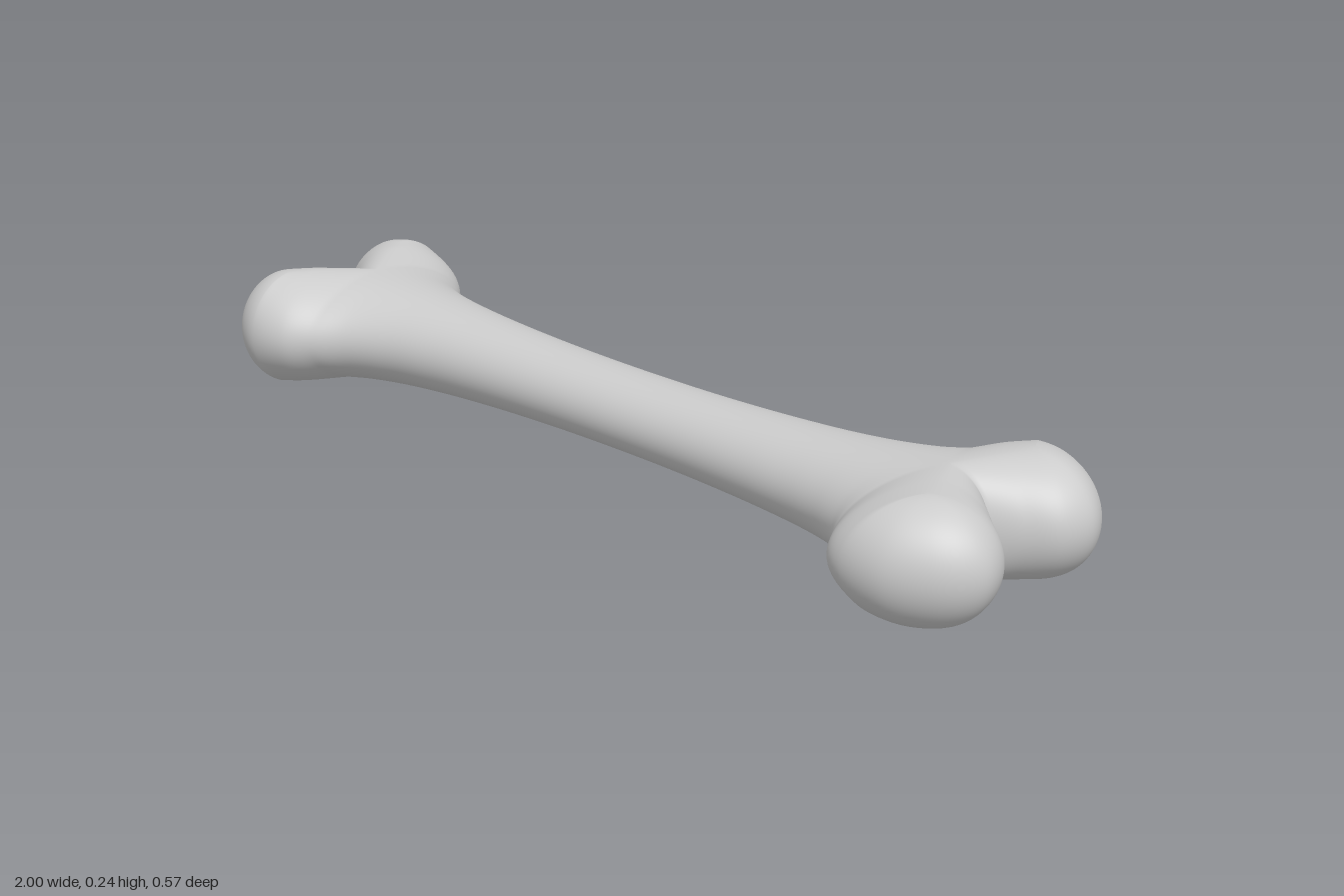
import * as THREE from 'three';
import { mergeVertices } from 'three/addons/utils/BufferGeometryUtils.js';

// Each row: outline x, outline z, then x, z of the ridge point above it.
// Ends run from the shaft, round one knuckle, into the notch.
const leftEnd = [
  [0.40, 0.109, 0.40, 0], [0.52, 0.123, 0.53, 0], [0.60, 0.144, 0.63, 0],
  [0.665, 0.178, 0.72, 0], [0.70, 0.217, 0.785, 0], [0.73, 0.262, 0.823, 0.085],
  [0.775, 0.282, 0.86, 0.15], [0.86, 0.279, 0.86, 0.15], [0.94, 0.238, 0.86, 0.15],
  [0.985, 0.19, 0.86, 0.15], [1.0, 0.145, 0.86, 0.15], [0.98, 0.085, 0.86, 0.15],
  [0.93, 0.039, 0.823, 0.085], [0.882, 0, 0.785, 0],
];
const rightEnd = [
  [-0.40, 0.107, -0.40, 0], [-0.52, 0.119, -0.53, 0], [-0.62, 0.139, -0.63, 0],
  [-0.70, 0.171, -0.72, 0], [-0.755, 0.212, -0.785, 0], [-0.805, 0.252, -0.845, 0.085],
  [-0.875, 0.27, -0.885, 0.15], [-0.915, 0.262, -0.885, 0.15], [-0.955, 0.237, -0.885, 0.15],
  [-0.988, 0.195, -0.885, 0.15], [-1.0, 0.145, -0.885, 0.15], [-0.975, 0.083, -0.885, 0.15],
  [-0.925, 0.038, -0.845, 0.085], [-0.882, 0, -0.785, 0],
];
const middle = [[0.2, 0.098, 0.2, 0], [0, 0.096, 0, 0], [-0.2, 0.098, -0.2, 0]];

const MID_Y = 0.122;
const STEPS = 8; // samples between outline rows
const ARC = 40; // samples from underside to top

// Half thickness grows from the slim shaft to the knuckles
const halfHeight = (x) => Math.min(0.078 + 0.037 * (x / 0.79) ** 2, 0.122);

function boneGeometry() {
  const rows = [...leftEnd.slice().reverse(), ...middle, ...rightEnd];
  const outline = new THREE.CatmullRomCurve3(rows.map(([x, z]) => new THREE.Vector3(x, 0, z)));
  const count = (rows.length - 1) * STEPS;
  const positions = [];
  const indices = [];

  // Front and back halves, mirrored across z
  for (const side of [1, -1]) {
    const base = positions.length / 3;
    for (let i = 0; i <= count; i++) {
      const k = Math.min(Math.floor(i / STEPS), rows.length - 2);
      const f = (i - k * STEPS) / STEPS;
      const edge = outline.getPoint(i / count);
      const ridgeX = THREE.MathUtils.lerp(rows[k][2], rows[k + 1][2], f);
      const ridgeZ = THREE.MathUtils.lerp(rows[k][3], rows[k + 1][3], f);
      const h = halfHeight(ridgeX);

      // Quarter ellipses from the ridge to the outline, below and above
      for (let j = 0; j <= ARC; j++) {
        const t = (j / ARC - 0.5) * Math.PI;
        const c = Math.cos(t);
        positions.push(
          ridgeX + (edge.x - ridgeX) * c,
          MID_Y + h * Math.sin(t),
          side * (ridgeZ + (edge.z - ridgeZ) * c),
        );
      }
    }
    for (let i = 0; i < count; i++) {
      for (let j = 0; j < ARC; j++) {
        const a = base + i * (ARC + 1) + j;
        const b = a + 1;
        const c = a + ARC + 1;
        const d = c + 1;
        if (side > 0) indices.push(a, b, c, b, d, c);
        else indices.push(a, c, b, b, c, d);
      }
    }
  }

  const geometry = new THREE.BufferGeometry();
  geometry.setAttribute('position', new THREE.Float32BufferAttribute(positions, 3));
  geometry.setIndex(indices);
  const welded = mergeVertices(geometry, 1e-5);
  welded.computeVertexNormals();
  return welded;
}

export function createModel() {
  const group = new THREE.Group();
  group.name = 'bone';
  // One continuous skin: shaft with two knuckles at each end
  const bone = new THREE.Mesh(boneGeometry(), new THREE.MeshStandardMaterial({ color: 0xcccccc }));
  bone.name = 'boneBody';
  group.add(bone);
  return group;
}
